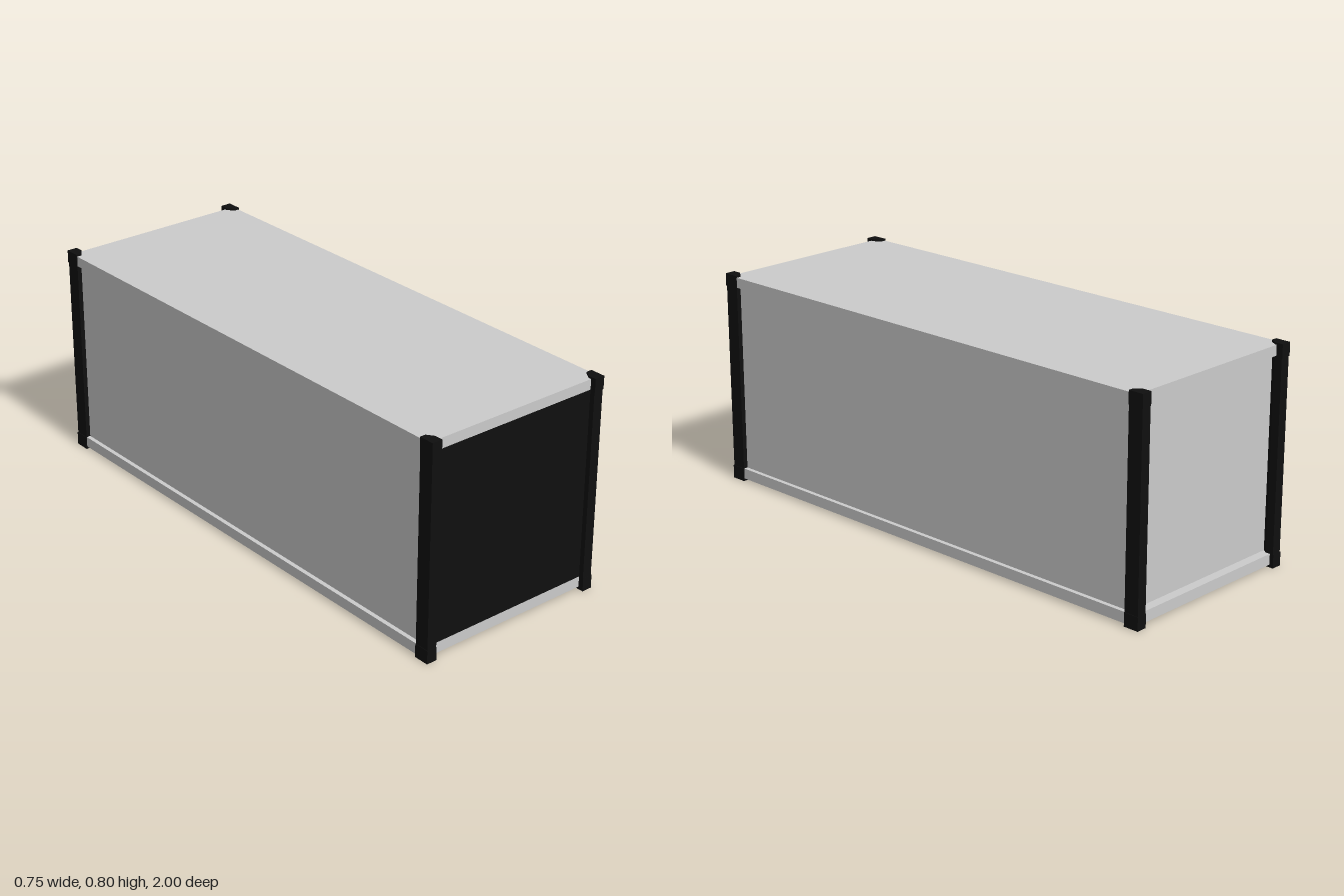
import * as THREE from 'three';

const grey = new THREE.MeshStandardMaterial({ color: 0xcccccc, flatShading: true });
const black = new THREE.MeshStandardMaterial({ color: 0x0f0f0f, flatShading: true });

// Box given by its minimum and maximum corners
function block(name, [x0, y0, z0], [x1, y1, z1], material) {
  const mesh = new THREE.Mesh(new THREE.BoxGeometry(x1 - x0, y1 - y0, z1 - z0), material);
  mesh.name = name;
  mesh.position.set((x0 + x1) / 2, (y0 + y1) / 2, (z0 + z1) / 2);
  return mesh;
}

// Upright five-sided prism with its inner corner cut off, for the corner at signs sx, sz
function cornerPrism(name, sx, sz, y0, y1, inset) {
  const ox = 0.375 - inset, oz = 1 - inset;
  const outline = [[ox, oz], [0.335, oz], [0.335, 0.968], [0.353, 0.942], [ox, 0.942]];
  const shape = new THREE.Shape(outline.map(([x, z]) => new THREE.Vector2(x * sx, -z * sz)));
  const geometry = new THREE.ExtrudeGeometry(shape, { depth: y1 - y0, bevelEnabled: false });
  geometry.rotateX(-Math.PI / 2).translate(0, y0, 0);
  const mesh = new THREE.Mesh(geometry, black);
  mesh.name = name;
  return mesh;
}

export function createModel() {
  const group = new THREE.Group();
  group.name = 'container';

  // Floor and roof slabs, whose edges form the rails
  group.add(
    block('floorAndBottomRails', [-0.372, 0.01, -0.985], [0.372, 0.05, 0.98], grey),
    block('roofAndTopRails', [-0.372, 0.755, -0.975], [0.372, 0.793, 0.98], grey),
  );

  // Recessed walls and end door
  group.add(
    block('walls', [-0.356, 0.05, -0.95], [0.356, 0.755, 0.96], grey),
    block('endDoor', [-0.36, 0.05, 0.96], [0.36, 0.755, 0.98], black),
  );

  // Corner posts with a fitting at each end
  for (const sx of [-1, 1]) {
    for (const sz of [-1, 1]) {
      group.add(
        cornerPrism('cornerPost', sx, sz, 0.05, 0.752, 0.002),
        cornerPrism('bottomCornerFitting', sx, sz, 0, 0.05, 0),
        cornerPrism('topCornerFitting', sx, sz, 0.752, 0.8, 0),
      );
    }
  }
  return group;
}
